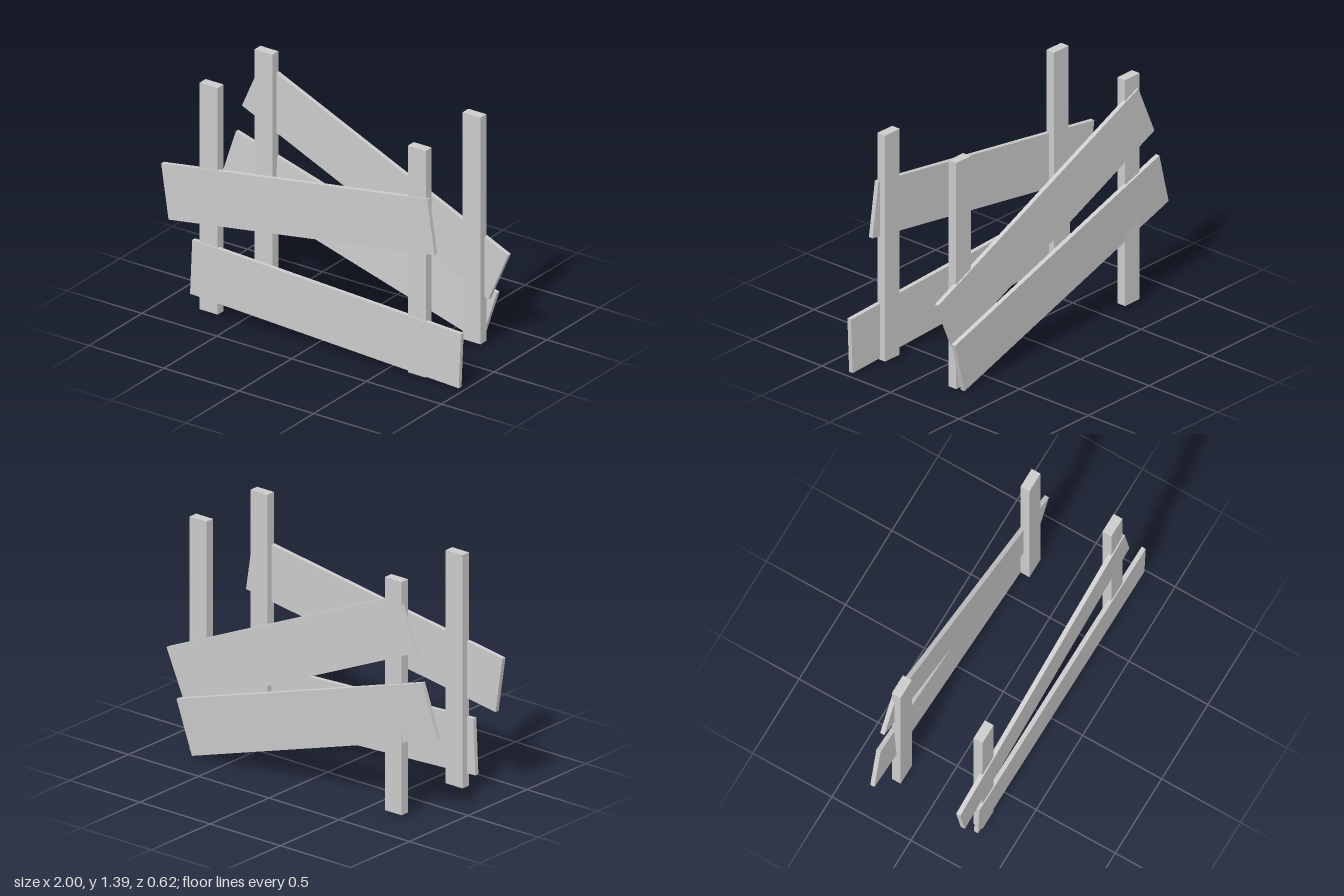
import * as THREE from 'three';

export function createModel() {
  const group = new THREE.Group();
  const material = new THREE.MeshStandardMaterial({ color: 0xcccccc, flatShading: true });

  function addBox(name, size, position, rotation = [0, 0, 0]) {
    const mesh = new THREE.Mesh(new THREE.BoxGeometry(...size), material);
    mesh.name = name;
    mesh.position.set(...position);
    mesh.rotation.set(...rotation, 'ZXY');
    group.add(mesh);
  }

  // Four upright posts
  for (const [row, z] of [['front', 0.279], ['back', -0.239]]) {
    for (const [side, x] of [['Left', 0.7], ['Right', -0.69]]) {
      addBox(`${row}${side}Post`, [0.12, 1.37, 0.056], [x, 0.705, z]);
    }
  }

  // Crooked planks nailed across the posts: centre, then tilt about x, y, z
  const planks = [
    ['frontUpperPlank', [-0.09, 0.807, 0.301], [0, 0, 0.151]],
    ['frontLowerPlank', [0.095, 0.225, 0.301], [0, 0, -0.0445]],
    ['backUpperPlank', [0.028, 0.795, -0.263], [0, 0, -0.413]],
    ['backLowerPlank', [-0.09, 0.42, -0.2715], [-0.0515, 0.0195, -0.293]],
  ];
  for (const [name, position, rotation] of planks) {
    addBox(name, [1.797, 0.33, 0.026], position, rotation);
  }

  return group;
}
